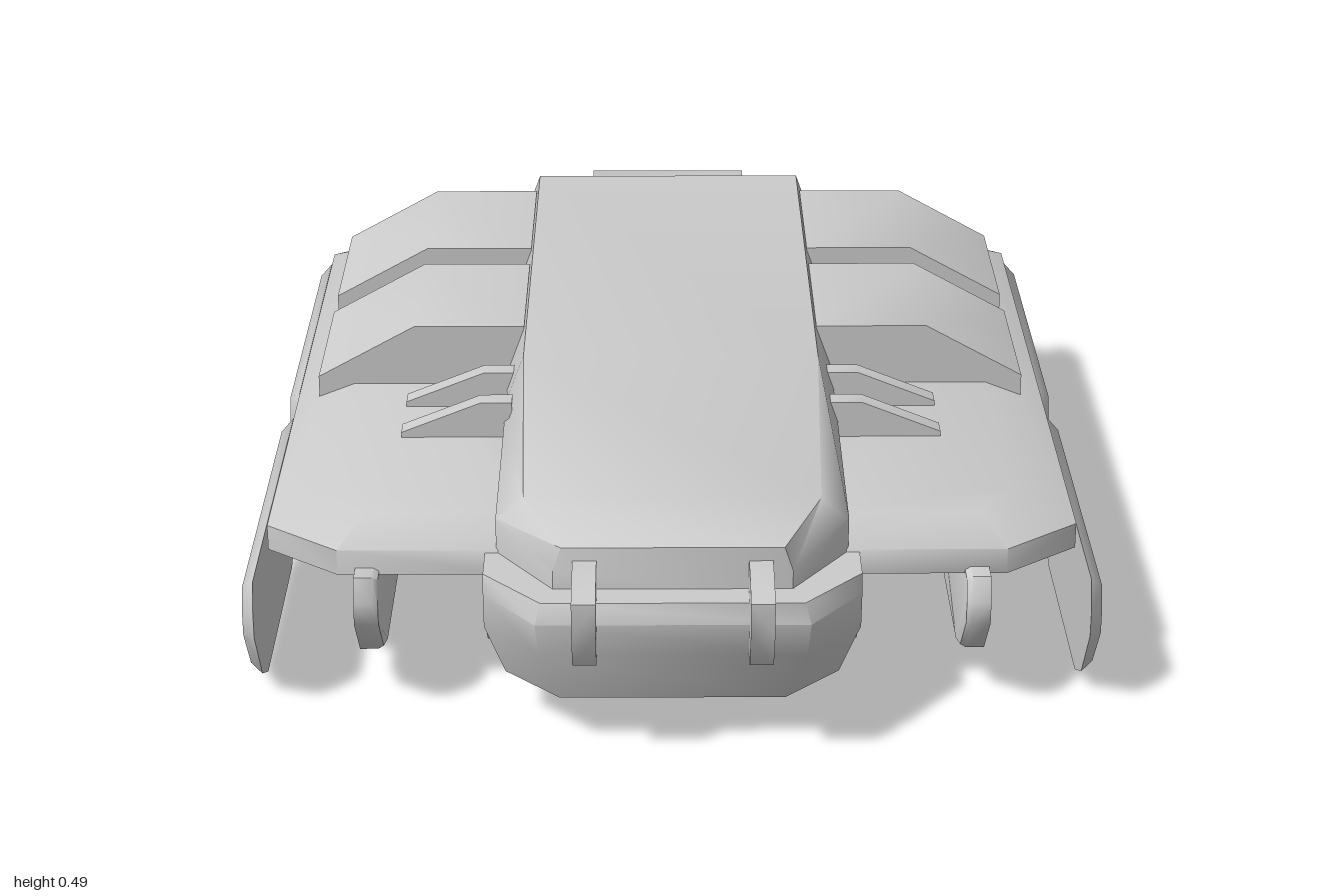
import * as THREE from 'three';
import { toCreasedNormals } from 'three/addons/utils/BufferGeometryUtils.js';

const material = new THREE.MeshStandardMaterial({ color: 0xcccccc });

// Closed solid through rings of equal point count, capped at both ends
function loft(rings, crease = 0.95) {
  const n = rings[0].length;
  const tris = [];
  for (let r = 0; r < rings.length - 1; r++) {
    for (let i = 0; i < n; i++) {
      const j = (i + 1) % n, a = rings[r], b = rings[r + 1];
      tris.push([a[i], a[j], b[j]], [a[i], b[j], b[i]]);
    }
  }
  const first = rings[0], last = rings[rings.length - 1];
  for (let i = 1; i < n - 1; i++) {
    tris.push([first[0], first[i + 1], first[i]], [last[0], last[i], last[i + 1]]);
  }
  // Turn the faces outward when the enclosed volume comes out negative
  const v = (p) => new THREE.Vector3(...p);
  const volume = tris.reduce((s, [a, b, c]) => s + v(a).dot(v(b).cross(v(c))), 0);
  if (volume < 0) tris.forEach((t) => t.reverse());
  const geometry = new THREE.BufferGeometry();
  geometry.setAttribute('position', new THREE.Float32BufferAttribute(tris.flat(2), 3));
  return toCreasedNormals(geometry, crease);
}

// Profiles swept straight along one axis
const alongX = (pts, x0, x1) => loft([x0, x1].map((x) => pts.map(([z, y]) => [x, y, z])));
const alongY = (pts, y0, y1) => loft([y0, y1].map((y) => pts.map(([x, z]) => [x, y, z])));
const alongZ = (pts, z0, z1) => loft([z0, z1].map((z) => pts.map(([x, y]) => [x, y, z])));

// Hull plan with clipped front and rear corners
const hullPlan = (y, w, front, frontW, shoulder, rear, rearW) => [
  [w, y, shoulder], [frontW, y, front], [-frontW, y, front], [-w, y, shoulder],
  [-w, y, rear + 0.07], [-rearW, y, rear], [rearW, y, rear], [w, y, rear + 0.07],
];

// Cross-section of the upper hull
const deckSection = (z, w, shoulder, topW, top) => [
  [w, 0.28, z], [w, shoulder, z], [topW, top, z],
  [-topW, top, z], [-w, shoulder, z], [-w, 0.28, z],
];

// Wing plan with clipped outer corners
const wingPlan = (y, outer, inset) => [
  [0.28, y, 0.725 - inset], [0.6 - inset * 0.8, y, 0.725 - inset], [outer, y, 0.62 - inset],
  [outer, y, -0.76 + inset], [0.6 - inset * 0.8, y, -0.82 + inset], [0.28, y, -0.82 + inset],
];

// Skirt plate outline, rounded off toward the ground
const plateRing = (x, zc, half, bottom, top, inset) => {
  const h = half - inset, b = bottom + inset, t = top - inset, k = t - b;
  const side = [[0.57, 0], [0.78, 0.15], [1, 0.6], [1, 0.8], [0.95, 1]];
  const edge = side.map(([u, v]) => [x, b + v * k, zc + u * h]);
  const mirror = side.map(([u, v]) => [x, b + v * k, zc - u * h]).reverse();
  return [...edge, ...mirror];
};

export function createModel() {
  const model = new THREE.Group();
  const add = (name, geometry) => {
    const mesh = new THREE.Mesh(geometry, material);
    mesh.name = name;
    model.add(mesh);
  };
  // Adds a +x part and its mirror image
  const addPair = (name, make) => {
    add(name + 'Left', make(1));
    add(name + 'Right', make(-1));
  };
  const flip = (pts, s) => pts.map(([x, b]) => [s * x, b]);
  const flipRings = (rings, s) => rings.map((r) => r.map(([x, y, z]) => [s * x, y, z]));

  // Hull
  add('lowerHull', loft([
    hullPlan(0.09, 0.3, 0.87, 0.2, 0.77, -0.85, 0.24),
    hullPlan(0.2, 0.335, 0.92, 0.235, 0.81, -0.9, 0.3),
    hullPlan(0.27, 0.335, 0.94, 0.24, 0.82, -0.905, 0.335),
    hullPlan(0.305, 0.335, 0.925, 0.23, 0.81, -0.905, 0.335),
  ]));
  add('upperHull', loft([
    deckSection(0.87, 0.21, 0.34, 0.195, 0.385),
    deckSection(0.72, 0.315, 0.37, 0.265, 0.41),
    deckSection(0.24, 0.315, 0.39, 0.28, 0.485),
    deckSection(-0.78, 0.315, 0.39, 0.28, 0.485),
    deckSection(-0.835, 0.315, 0.33, 0.3, 0.345),
  ]));

  // Engine block at the rear
  add('engineBlock', alongX([
    [-0.8, 0.455], [-0.9, 0.455], [-1, 0.4], [-1, 0.24], [-0.89, 0.125], [-0.8, 0.125],
  ], -0.165, 0.165));

  // Wings
  addPair('wing', (s) => loft(flipRings([
    wingPlan(0.262, 0.735, 0), wingPlan(0.31, 0.735, 0), wingPlan(0.355, 0.62, 0.06),
  ], s)));

  // Housings on top of the wings
  const housing = [[0.285, 0.32], [0.69, 0.32], [0.69, 0.37], [0.5, 0.475], [0.285, 0.475]];
  for (const [z0, z1] of [[-0.71, -0.36], [-0.27, 0.07]]) {
    addPair('housing', (s) => alongZ(flip(housing, s), z0, z1));
  }

  // Upright vanes on the wings
  const vane = [[0.3, 0.32], [0.48, 0.32], [0.51, 0.345], [0.51, 0.365], [0.36, 0.425], [0.3, 0.425]];
  for (const z of [0.31, 0.165, -0.765]) {
    addPair('wingVane', (s) => alongZ(flip(vane, s), z - 0.02, z + 0.02));
  }

  // Flat vanes beside the engine
  const rearVane = [[0.1, -0.8], [0.1, -0.968], [0.2, -0.968], [0.295, -0.9], [0.3, -0.84], [0.28, -0.8]];
  addPair('rearVane', (s) => alongY(flip(rearVane, s), 0.29, 0.33));

  // Teeth on the nose
  const tooth = [[0.84, 0.36], [0.93, 0.358], [1, 0.34], [1, 0.28], [0.955, 0.2], [0.84, 0.2]];
  addPair('noseTooth', (s) => alongX(tooth, s * 0.133, s * 0.175));

  // Skirt plates: outer, middle and inner, two sets on each side
  for (const z of [0.383, -0.472]) {
    addPair('outerSkirt', (s) => loft(flipRings([
      plateRing(0.75, z, 0.382, 0, 0.258, 0), plateRing(0.772, z, 0.382, 0, 0.258, 0.02),
    ], s)));
    addPair('middleSkirt', (s) => loft(flipRings([
      plateRing(0.525, z, 0.402, 0.066, 0.275, 0.006),
      plateRing(0.535, z, 0.402, 0.066, 0.275, 0),
      plateRing(0.568, z, 0.402, 0.066, 0.275, 0),
    ], s)));
    addPair('innerSkirt', (s) => loft(flipRings([
      plateRing(0.28, z, 0.402, 0.09, 0.275, 0), plateRing(0.335, z, 0.402, 0.09, 0.275, 0),
    ], s)));
  }
  return model;
}
